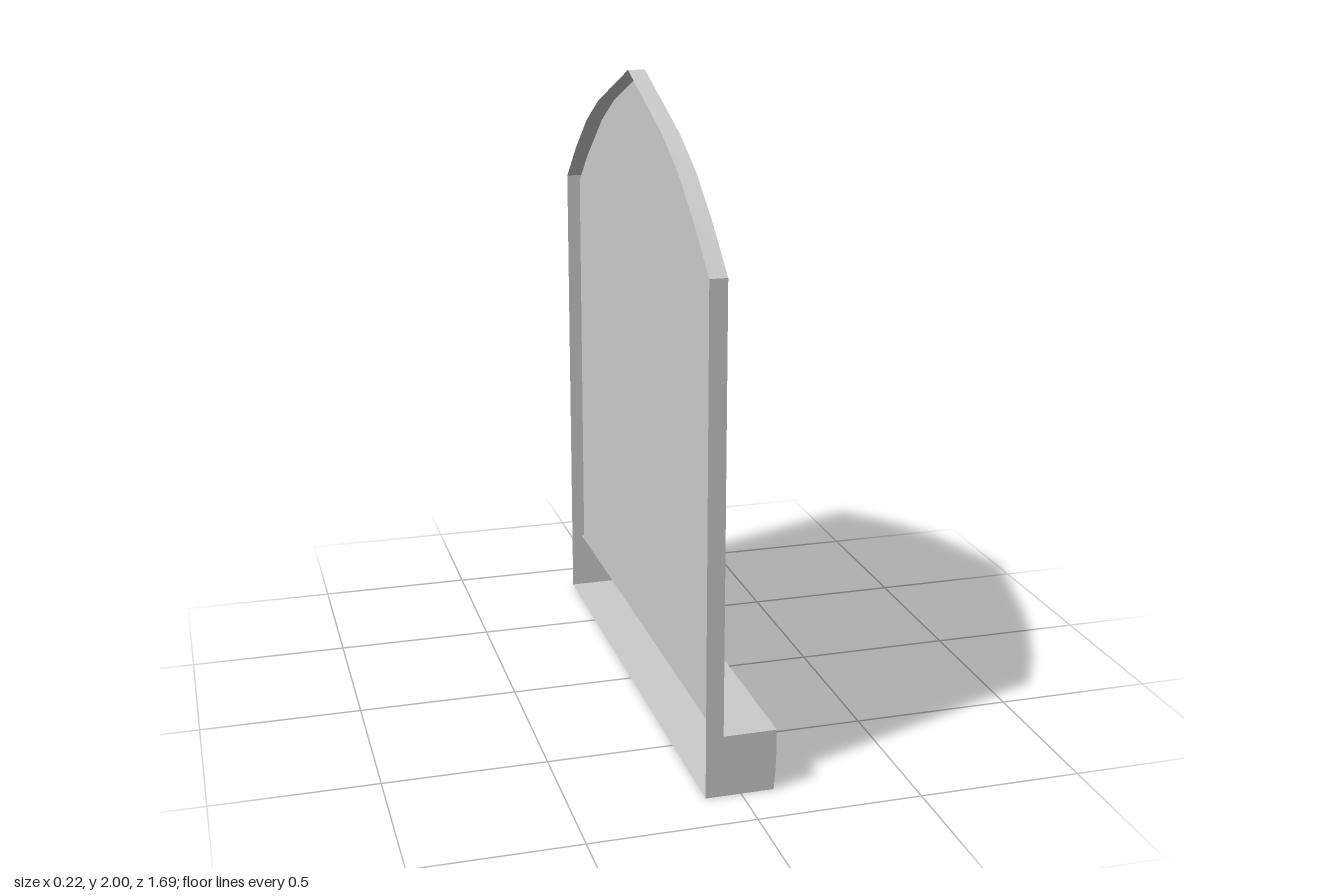
import * as THREE from 'three';
import { toCreasedNormals } from 'three/addons/utils/BufferGeometryUtils.js';

const material = new THREE.MeshStandardMaterial({ color: 0xcccccc, side: THREE.DoubleSide });

const HALF = 0.845;      // half width along z
const BACK = -0.108;     // open back edge
const RIM = -0.055;      // front face of the frame
const PANEL = -0.071;    // recessed panel
const SILL_TOP = 0.19;

// Surface between two polylines of equal length
function strip(a, b) {
  const pos = [];
  for (let i = 0; i < a.length - 1; i++) {
    for (const p of [a[i], b[i], a[i + 1], b[i], b[i + 1], a[i + 1]]) pos.push(...p);
  }
  const geo = new THREE.BufferGeometry();
  geo.setAttribute('position', new THREE.Float32BufferAttribute(pos, 3));
  return toCreasedNormals(geo, 0.5);
}

// Mirror half an arch [z, y] about its apex, running from +z over the top to -z
function mirrorArch(half) {
  return [...half, ...half.slice(0, -1).reverse().map(([z, y]) => [-z, y])];
}

const atX = (outline, x) => outline.map(([z, y]) => [x, y, z]);
const atZ = (profile, z) => profile.map(([x, y]) => [x, y, z]);
const flat = (points) =>
  new THREE.ShapeGeometry(new THREE.Shape(points.map(([u, v]) => new THREE.Vector2(u, v))));

export function createModel() {
  const group = new THREE.Group();
  const add = (name, geo) => {
    const mesh = new THREE.Mesh(geo, material);
    mesh.name = name;
    group.add(mesh);
    return mesh;
  };

  const outer = mirrorArch([
    [HALF, SILL_TOP], [HALF, 1.54], [0.705, 1.66], [0.545, 1.775], [0.38, 1.86], [0, 2],
  ]);
  const inner = mirrorArch([
    [0.813, SILL_TOP], [0.813, 1.528], [0.685, 1.638], [0.53, 1.746], [0.365, 1.83], [0, 1.965],
  ]);

  // Arched frame: outer wall, front rim and the step back to the panel
  add('frameWall', strip(atX(outer, BACK), atX(outer, RIM)));
  add('frameRim', strip(atX(outer, RIM), atX(inner, RIM)));
  add('frameStep', strip(atX(inner, RIM), atX(inner, PANEL)));

  // Recessed panel
  const panel = flat(inner.map(([z, y]) => [-z, y]));
  panel.rotateY(Math.PI / 2).translate(PANEL, 0, 0);
  add('panel', panel);

  // Hollow sill, open at the back, with a slightly rounded nose
  const nose = [[0.106, SILL_TOP], [0.107, 0.14], [0.105, 0.07], [0.1, 0]];
  const profile = [[PANEL, SILL_TOP], ...nose, [BACK, 0]];
  add('sill', strip(atZ(profile, -HALF), atZ(profile, HALF)));

  // Sill ends
  const endShape = [[BACK, 0], ...[...nose].reverse(), [BACK, SILL_TOP]];
  for (const side of [1, -1]) {
    const end = add(side > 0 ? 'sillEndFront' : 'sillEndBack', flat(endShape));
    end.position.z = side * HALF;
    end.scale.z = side;
  }
  return group;
}
